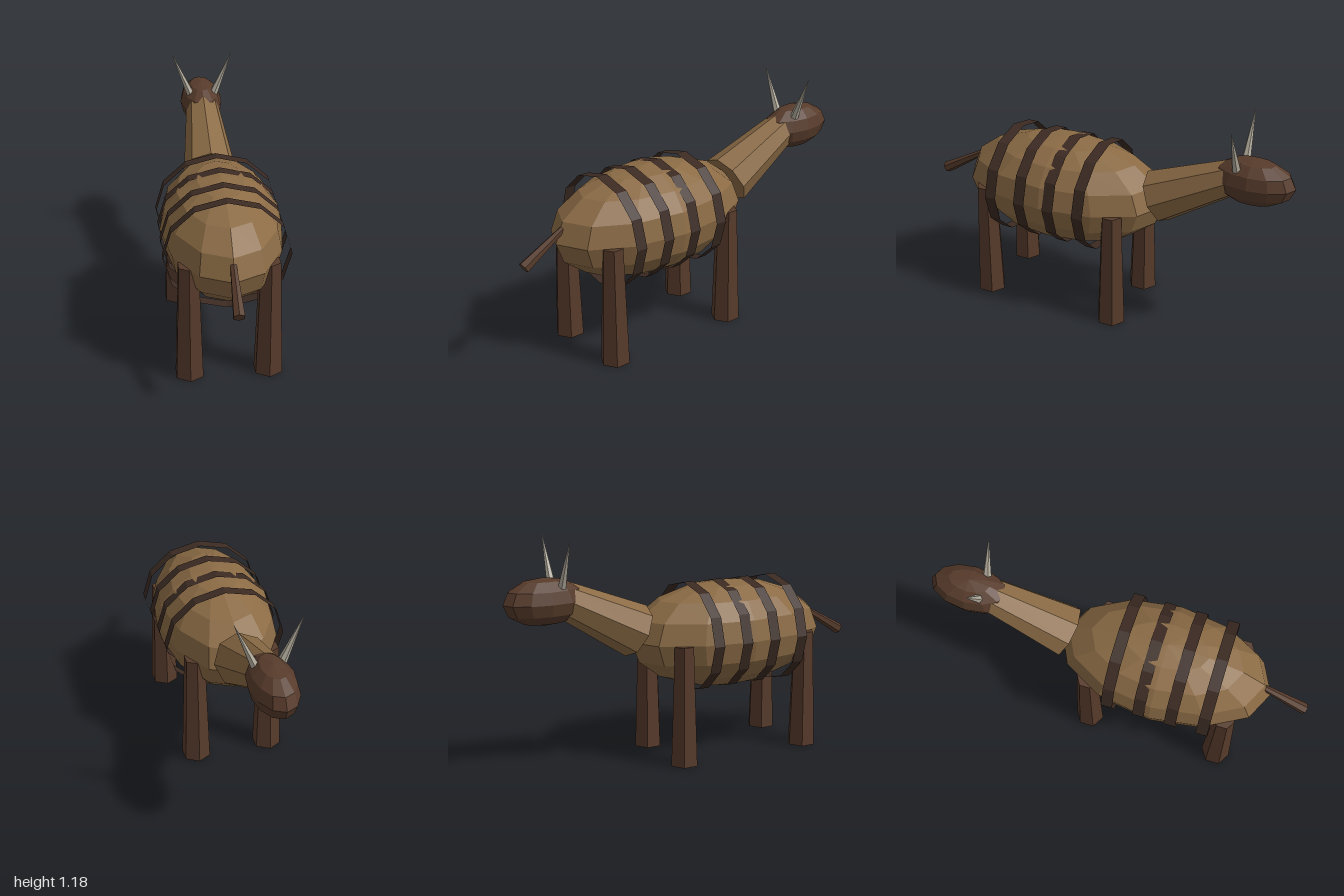
import * as THREE from 'three';

const paint = (color, side = THREE.FrontSide) =>
  new THREE.MeshStandardMaterial({ color, side, flatShading: true });

export function createModel() {
  const model = new THREE.Group();
  const hide = paint(0x8b6b45);
  const brown = paint(0x573b2b);
  const dark = paint(0x3b2a22, THREE.DoubleSide);
  const horn = paint(0xb5ae9f);

  const add = (name, geometry, material) => {
    const mesh = new THREE.Mesh(geometry, material);
    mesh.name = name;
    model.add(mesh);
    return mesh;
  };

  // Faceted ellipsoid
  const blob = (name, material, segments, rows, position, radii) => {
    const mesh = add(name, new THREE.SphereGeometry(1, segments, rows), material);
    mesh.position.set(...position);
    mesh.scale.set(...radii);
  };

  // Tapered prism running from one point to another
  const limb = (name, material, from, to, r0, r1, sides) => {
    const a = new THREE.Vector3(...from);
    const b = new THREE.Vector3(...to);
    const axis = b.clone().sub(a);
    const mesh = add(name, new THREE.CylinderGeometry(r1, r0, axis.length(), sides), material);
    mesh.position.copy(a).add(b).multiplyScalar(0.5);
    mesh.quaternion.setFromUnitVectors(new THREE.Vector3(0, 1, 0), axis.normalize());
  };

  // Body, neck, head and tail (the head points to -z)
  blob('body', hide, 12, 8, [0, 0.617, 0.243], [0.306, 0.278, 0.557]);
  limb('neck', hide, [0, 0.676, -0.287], [0, 0.878, -0.689], 0.139, 0.09, 8);
  blob('head', brown, 12, 6, [0, 0.873, -0.783], [0.115, 0.118, 0.213]);
  limb('tail', brown, [0, 0.7, 0.735], [0, 0.55, 0.986], 0.015, 0.03, 6);

  // Thin open hoops around the body
  for (const z of [0.52, 0.353, 0.187, 0.02]) {
    const hoop = new THREE.CylinderGeometry(1, 1, 0.06, 12, 1, true).rotateX(Math.PI / 2);
    const band = add('band', hoop, dark);
    band.position.set(0, 0.616, z);
    band.scale.set(0.311, 0.284, 1);
  }

  // Legs and horns, mirrored
  for (const [side, s] of [['left', 1], ['right', -1]]) {
    limb(side + 'FrontLeg', brown, [s * 0.195, 0, -0.118], [s * 0.195, 0.615, -0.118], 0.076, 0.055, 6);
    limb(side + 'BackLeg', brown, [s * 0.195, 0, 0.608], [s * 0.195, 0.615, 0.608], 0.076, 0.055, 6);
    limb(side + 'Horn', horn, [s * 0.065, 0.945, -0.716], [s * 0.163, 1.178, -0.716], 0.023, 0.001, 6);
  }
  return model;
}
